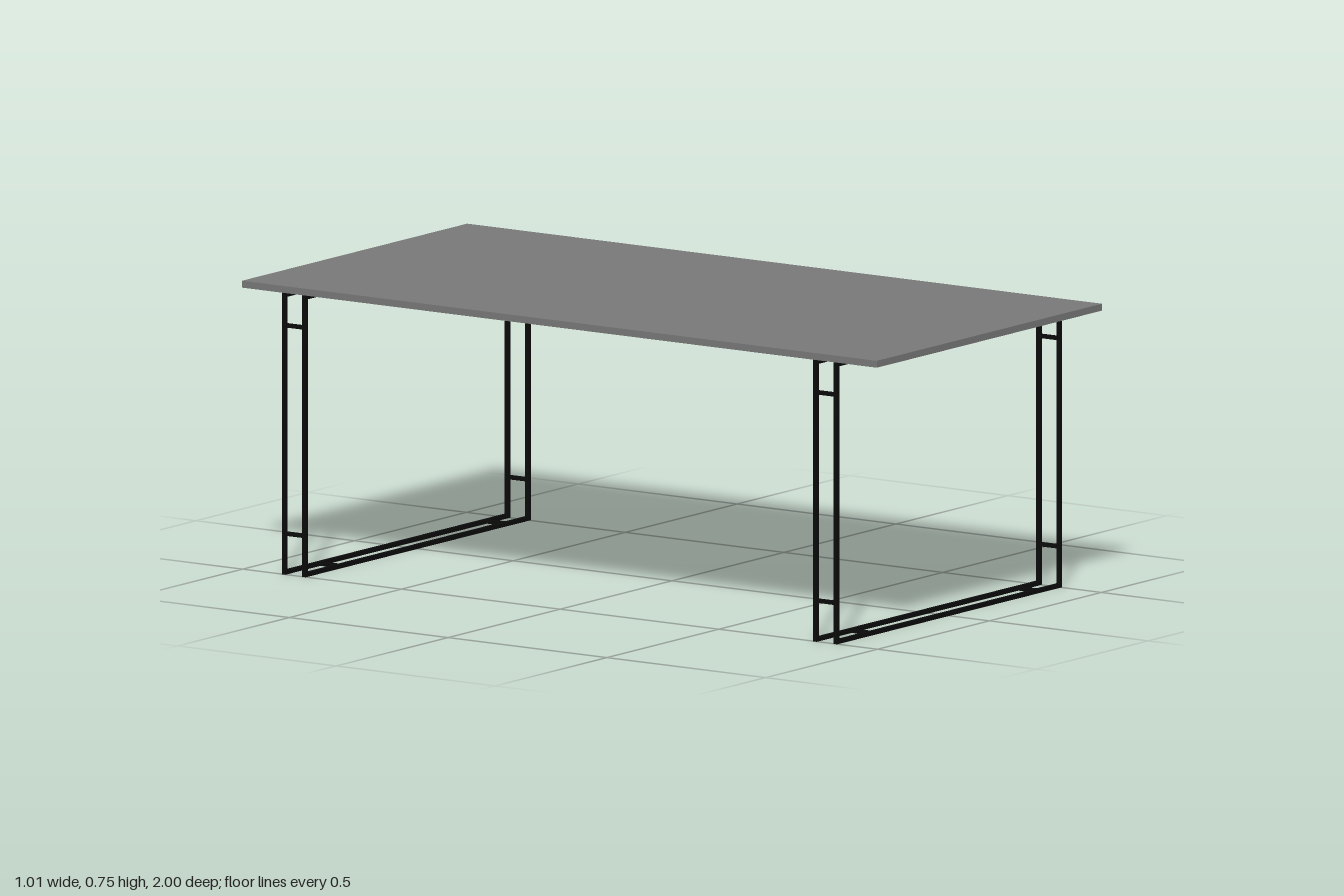
import * as THREE from 'three';

const W = 0.503;      // half width of the top
const BAR = 0.011;    // thickness of the square bars
const FRAME_TOP = 0.737;

export function createModel() {
  const model = new THREE.Group();
  model.name = 'table';
  const topMat = new THREE.MeshStandardMaterial({ color: 0x777777 });
  const barMat = new THREE.MeshStandardMaterial({ color: 0x0a0a0a });

  function box(parent, name, mat, size, pos) {
    const mesh = new THREE.Mesh(new THREE.BoxGeometry(...size), mat);
    mesh.name = name;
    mesh.position.set(...pos);
    parent.add(mesh);
  }

  // Flat slab
  box(model, 'tableTop', topMat, [2 * W, 0.018, 2], [0, 0.746, 0]);

  // Rectangular hoop of square bar, extruded along z
  const outer = new THREE.Shape([[-W, 0], [W, 0], [W, FRAME_TOP], [-W, FRAME_TOP]]
    .map(p => new THREE.Vector2(...p)));
  const a = W - BAR;
  outer.holes.push(new THREE.Path([[-a, BAR], [-a, FRAME_TOP - BAR], [a, FRAME_TOP - BAR], [a, BAR]]
    .map(p => new THREE.Vector2(...p))));
  const hoopGeo = new THREE.ExtrudeGeometry(outer, { depth: BAR, bevelEnabled: false });
  hoopGeo.translate(0, 0, -BAR / 2);

  for (const side of [1, -1]) {
    const leg = new THREE.Group();
    leg.name = side > 0 ? 'frontLegFrame' : 'backLegFrame';
    leg.position.z = side * 0.837;
    model.add(leg);

    // Pair of parallel hoops
    for (const dz of [-0.032, 0.032]) {
      const hoop = new THREE.Mesh(hoopGeo, barMat);
      hoop.name = 'hoop';
      hoop.position.z = dz;
      leg.add(hoop);
    }

    // Short ties joining the hoops, on the uprights and the floor bars
    const tie = [0.01, 0.01, 0.064];
    for (const x of [-1, 1])
      for (const y of [0.107, 0.652])
        box(leg, 'uprightTie', barMat, tie, [x * (W - BAR / 2), y, 0]);
    for (const x of [-0.352, 0.392])
      box(leg, 'floorTie', barMat, tie, [x, 0.0075, 0]);
  }
  return model;
}
